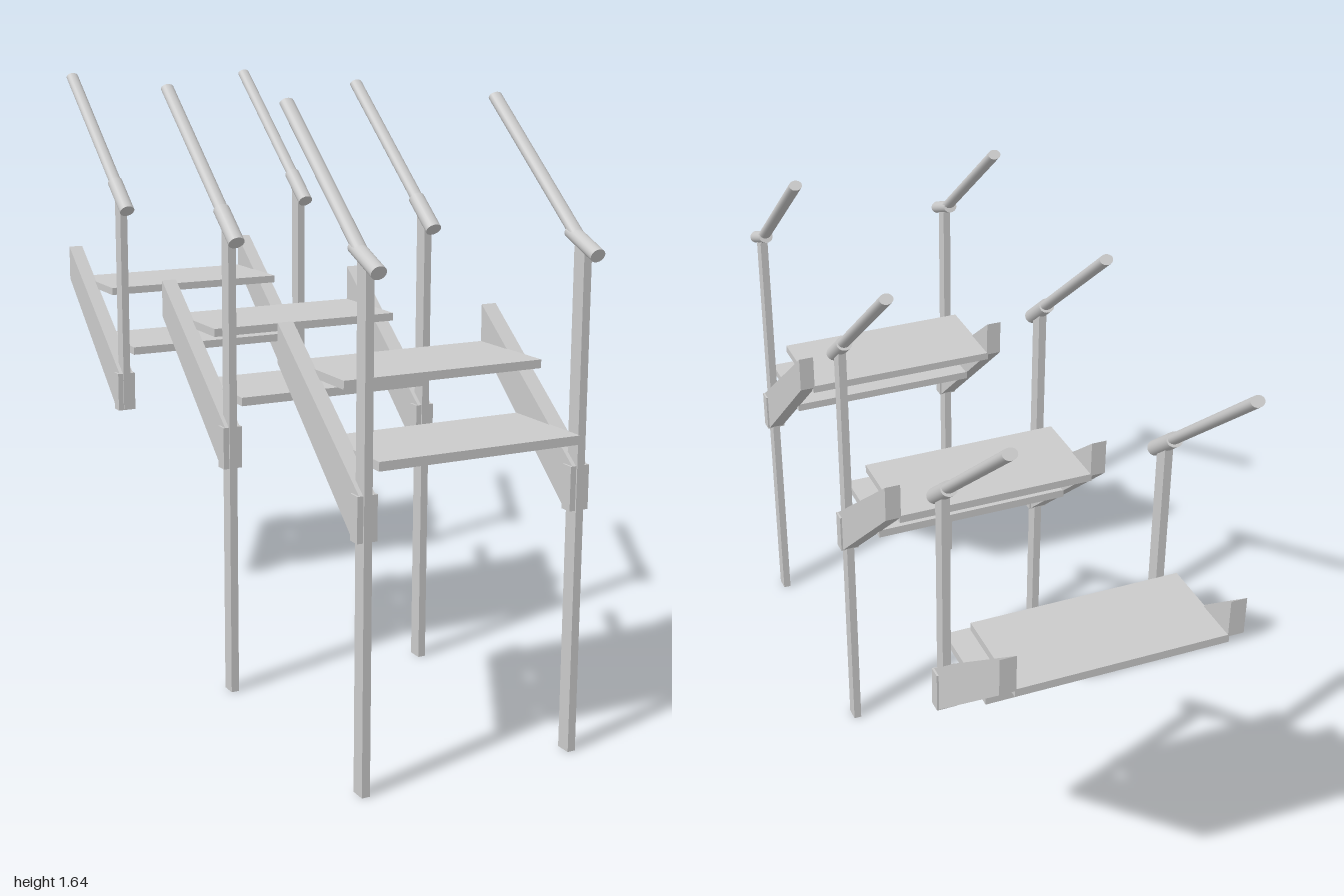
import * as THREE from 'three';

const material = new THREE.MeshStandardMaterial({ color: 0xcccccc });
const SIDE_X = 0.298;

function add(parent, name, geometry, x, y, z) {
  const mesh = new THREE.Mesh(geometry, material);
  mesh.name = name;
  mesh.position.set(x, y, z);
  parent.add(mesh);
  return mesh;
}

function box(parent, name, [x0, x1], [y0, y1], [z0, z1]) {
  return add(parent, name, new THREE.BoxGeometry(x1 - x0, y1 - y0, z1 - z0),
    (x0 + x1) / 2, (y0 + y1) / 2, (z0 + z1) / 2);
}

// Round bar between two [z, y] points, slightly flattened across its slope
function bar(parent, name, x, [z0, y0], [z1, y1], rx, thickness) {
  const dz = z1 - z0, dy = y1 - y0;
  const geometry = new THREE.CylinderGeometry(rx, rx, Math.hypot(dz, dy), 20);
  geometry.scale(1, 1, thickness / rx);
  const mesh = add(parent, name, geometry, x, (y0 + y1) / 2, (z0 + z1) / 2);
  mesh.rotation.x = Math.atan2(dz, dy);
  return mesh;
}

// Sloping side beam with vertical ends; z is measured from the post
function stringerGeometry() {
  const width = 0.043;
  const shape = new THREE.Shape([[0.015, 0.64], [0.015, 0.75], [-0.41, 1.088], [-0.41, 0.985], [-0.02, 0.64]]
    .map(([z, y]) => new THREE.Vector2(z, y)));
  const geometry = new THREE.ExtrudeGeometry(shape, { depth: width, bevelEnabled: false });
  geometry.translate(0, 0, -width / 2);
  geometry.rotateY(-Math.PI / 2);
  return geometry;
}

// One stair section, placed with its posts at z = 0
function stairSection(name, postBottom, levelStart) {
  const section = new THREE.Group();
  section.name = name;

  for (const s of [-1, 1]) {
    const x = s * SIDE_X;
    box(section, 'post', [x - 0.011, x + 0.011], [postBottom, 1.29], [-0.021, 0.021]);
    add(section, 'stringer', stringerGeometry(), x, 0, 0);
    box(section, 'postBracket', [x - 0.027, x + 0.027], [0.636, 0.75], [-0.018, 0.017]);

    // Handrail, with either a flatter lead-in or a sloping sleeve at its foot
    bar(section, 'handrail', x, [-0.02, 1.295 + 0.015], [-0.402, 1.628], 0.0185, 0.0145);
    if (levelStart) bar(section, 'handrailStart', x, [0.06, 1.275], [-0.05, 1.322], 0.0205, 0.018);
    else bar(section, 'handrailSleeve', x, [0.05, 1.25], [-0.045, 1.328], 0.0225, 0.0205);
  }

  // Two flat treads, spanning between the stringers
  const span = [-0.28, 0.28];
  box(section, 'lowerTread', span, [0.81, 0.833], [-0.235, 0.038]);
  box(section, 'upperTread', span, [0.968, 0.99], [-0.41, -0.136]);
  return section;
}

export function createModel() {
  const model = new THREE.Group();
  model.name = 'stairSections';

  // Front and middle sections stand on long posts; the rear one has short posts
  const sections = [
    ['frontSection', 0.935, 0, true],
    ['middleSection', 0.19, 0, false],
    ['rearSection', -0.585, 0.64, false],
  ];
  for (const [name, z, postBottom, levelStart] of sections) {
    const section = stairSection(name, postBottom, levelStart);
    section.position.z = z;
    model.add(section);
  }
  return model;
}
